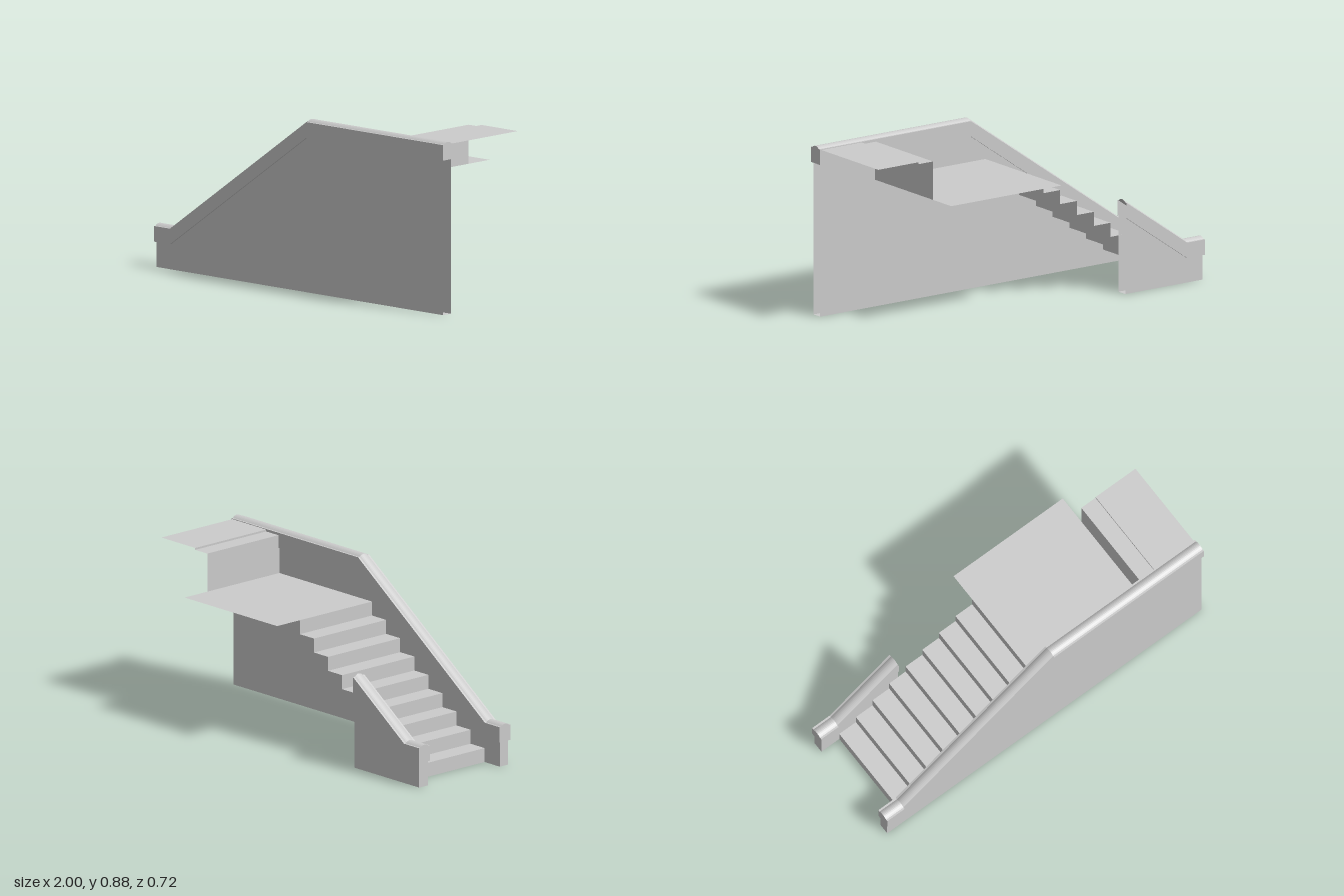
import * as THREE from 'three';

const material = new THREE.MeshStandardMaterial({
  color: 0xcccccc, flatShading: true, side: THREE.DoubleSide,
});

// Skin a row of equal-length cross-sections (arrays of [x, y, z]) with quads.
function loft(name, sections) {
  const n = sections[0].length;
  const index = [];
  for (let i = 0; i < sections.length - 1; i++) {
    for (let j = 0; j < n - 1; j++) {
      const a = i * n + j, b = a + 1, d = a + n, c = d + 1;
      index.push(a, b, c, a, c, d);
    }
  }
  let geometry = new THREE.BufferGeometry();
  geometry.setAttribute('position', new THREE.Float32BufferAttribute(sections.flat(2), 3));
  geometry.setIndex(index);
  geometry = geometry.toNonIndexed();
  geometry.computeVertexNormals();
  const mesh = new THREE.Mesh(geometry, material);
  mesh.name = name;
  return mesh;
}

// A sheet running across the stair, from an [x, y] profile.
function sheet(name, profile, back, front) {
  return loft(name, [front, back].map((z) => profile.map(([x, y]) => [x, y, z])));
}

const RAIL_H = 0.08;   // side height of the coping
const ARCH_H = 0.012;  // rise of its rounded top

// Side wall with a rounded coping that follows the path of [x, y] points.
function balustrade(name, path, wall, rail, wallEndX, closedEnd) {
  const group = new THREE.Group();
  group.name = name;

  // Hollow wall below the coping: two sides and a floor, closed at the foot
  const wallPath = path.map(([x, y]) => [x, y - RAIL_H]);
  wallPath[0][0] = -0.993;
  wallPath[wallPath.length - 1][0] = wallEndX;
  group.add(loft('wall', wallPath.map(([x, y]) => [
    [x, y, wall[1]], [x, 0, wall[1]], [x, 0, wall[0]], [x, y, wall[0]],
  ])));
  const [footX, footY] = wallPath[0];
  group.add(loft('wallFootEnd', [footY, 0].map((y) => [[footX, y, wall[1]], [footX, y, wall[0]]])));

  // Coping profile as [z, height]: sides, narrow shoulders and an arched crown
  const crown = [[rail[0], -RAIL_H], [rail[0], 0]];
  const z0 = rail[0] + 0.01, z1 = rail[1] - 0.01, steps = 8;
  for (let i = 0; i <= steps; i++) {
    const t = i / steps;
    crown.push([z0 + (z1 - z0) * t, ARCH_H * 4 * t * (1 - t)]);
  }
  crown.push([rail[1], 0], [rail[1], -RAIL_H]);
  const profile = [[wall[0], -RAIL_H], ...crown, [wall[1], -RAIL_H]];
  group.add(loft('coping', path.map(([x, y]) => profile.map(([z, h]) => [x, y + h, z]))));

  // End caps of the coping
  const cap = (capName, [x, y], points) => group.add(loft(capName, [
    points.map(([z, h]) => [x, y + h, z]),
    points.map(([z]) => [x, y - RAIL_H, z]),
  ]));
  cap('copingFootEnd', path[0], [...crown].reverse());
  if (closedEnd) cap('copingTopEnd', path[path.length - 1], crown);
  return group;
}

export function createModel() {
  const model = new THREE.Group();
  model.name = 'staircase';
  const back = -0.205, front = 0.288;

  // Nine open steps up to the landing
  const count = 9, landingY = 0.66, firstX = -0.88, landingX = -0.04;
  const steps = [[firstX, 0]];
  for (let i = 0; i < count; i++) {
    const x = firstX + (landingX - firstX) * i / (count - 1);
    if (i > 0) steps.push([x, landingY * i / count]);
    steps.push([x, landingY * (i + 1) / count]);
  }
  model.add(sheet('steps', steps, back, front));

  // Wider landing, then the tall riser and the upper floor with its low sill
  model.add(sheet('landing', [[landingX, landingY], [0.65, landingY]], -0.36, front));
  model.add(sheet('upperRiser', [[0.65, landingY], [0.65, 0.79], [0.65, 0.86]], back, front));
  model.add(sheet('upperFloor', [[0.65, 0.86], [0.74, 0.86], [0.74, 0.87], [0.992, 0.87]], back, front));

  // Long front balustrade and short back one
  model.add(balustrade('frontBalustrade',
    [[-1, 0.21], [-0.89, 0.21], [0.055, 0.873], [1, 0.873]],
    [front, 0.345], [0.28, 0.355], 0.993, true));
  model.add(balustrade('backBalustrade',
    [[-1, 0.21], [-0.89, 0.21], [-0.51, 0.477]],
    [-0.263, -0.204], [-0.272, -0.196], -0.51, false));
  return model;
}
